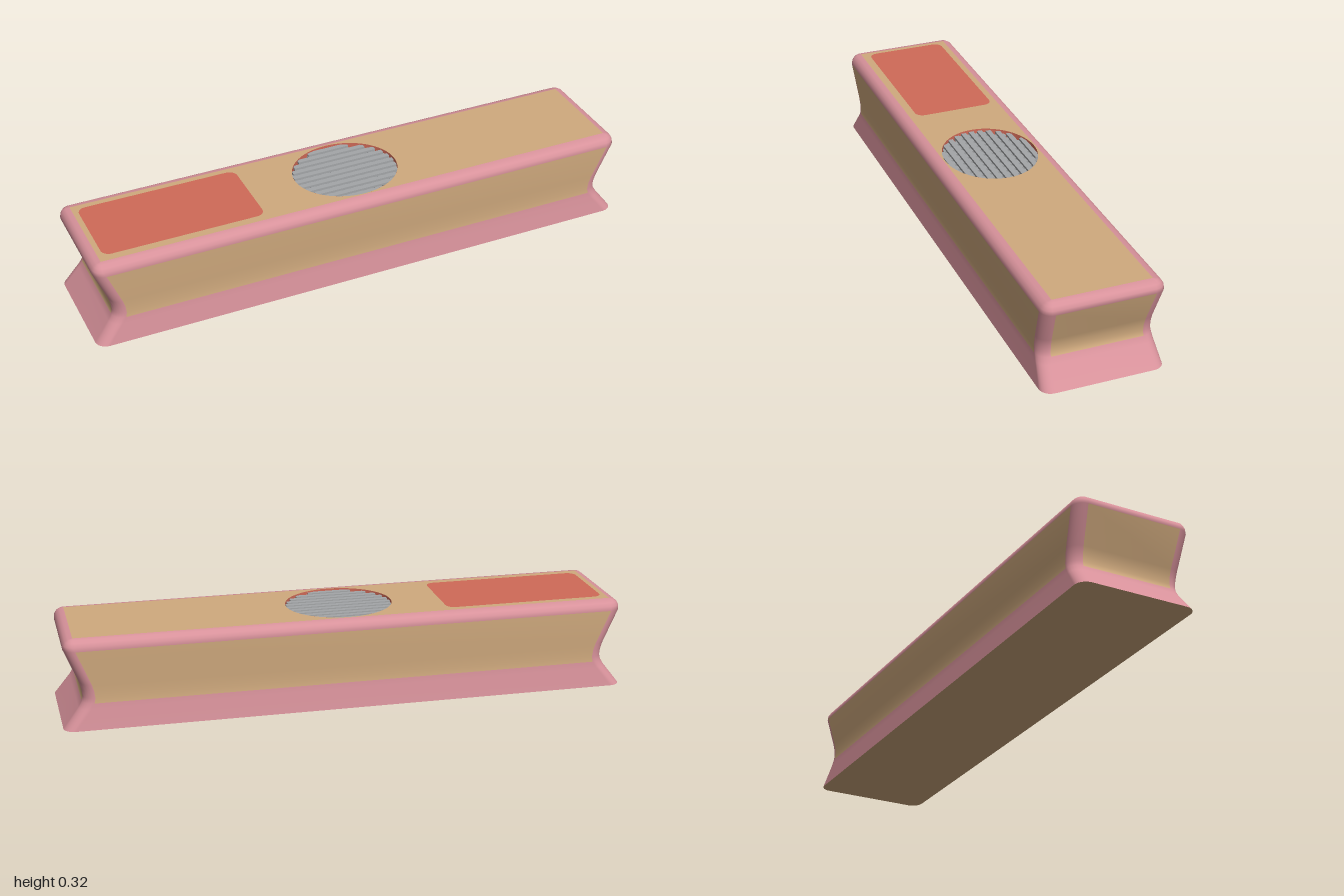
import * as THREE from 'three';

const material = (color) => new THREE.MeshStandardMaterial({ color, roughness: 0.8, side: THREE.DoubleSide });

// body levels: height, half length, half depth, corner radius
const LEVELS = [
  [0, 1, 0.213, 0.04], [0.07, 0.946, 0.203, 0.04], [0.092, 0.933, 0.2008, 0.04],
  [0.11, 0.929, 0.2, 0.04], [0.135, 0.932, 0.2005, 0.04], [0.16, 0.939, 0.202, 0.04],
  [0.283, 0.989, 0.211, 0.04], [0.298, 0.987, 0.208, 0.037], [0.31, 0.98, 0.2, 0.029],
  [0.3175, 0.969, 0.188, 0.017], [0.32, 0.954, 0.172, 0.001],
];
const PANEL_BOTTOM = 2, PANEL_TOP = 6; // level range of the wooden panels
const STEPS = 6, TOP = 0.32, RX = 0.19, RZ = 0.167;

// rounded rectangle as points, corner by corner
function ring(hx, hz, r) {
  const points = [];
  for (let c = 0; c < 4; c++) {
    const sx = c === 0 || c === 3 ? 1 : -1, sz = c < 2 ? 1 : -1;
    for (let i = 0; i <= STEPS; i++) {
      const a = (c + i / STEPS) * Math.PI / 2;
      points.push(new THREE.Vector2(sx * (hx - r) + r * Math.cos(a), sz * (hz - r) + r * Math.sin(a)));
    }
  }
  return points;
}

function flat(shape, y, down = false) {
  const g = new THREE.ShapeGeometry(shape, 48);
  g.rotateX(down ? Math.PI / 2 : -Math.PI / 2);
  return g.translate(0, y, 0);
}

export function createModel() {
  const group = new THREE.Group();
  const wood = material(0xd0aa7e), pink = material(0xd8929b), red = material(0xd06a58);
  const steel = material(0xa4a6a8), dark = material(0x4c4c4e);
  const add = (name, geometry, mat, parent = group) => {
    const mesh = new THREE.Mesh(geometry, mat);
    mesh.name = name;
    parent.add(mesh);
    return mesh;
  };

  // waisted body, split into pink frame and wooden panels with shared normals
  const positions = [], frame = [], panels = [];
  const n = 4 * (STEPS + 1);
  for (const [y, hx, hz, r] of LEVELS) for (const p of ring(hx, hz, r)) positions.push(p.x, y, p.y);
  for (let i = 0; i < LEVELS.length - 1; i++) {
    for (let j = 0; j < n; j++) {
      const a = i * n + j, b = i * n + (j + 1) % n;
      const isFlat = j % (STEPS + 1) === STEPS;
      const target = isFlat && i >= PANEL_BOTTOM && i < PANEL_TOP ? panels : frame;
      target.push(a, a + n, b + n, a, b + n, b);
    }
  }
  const whole = new THREE.BufferGeometry();
  whole.setAttribute('position', new THREE.Float32BufferAttribute(positions, 3));
  whole.setIndex([...frame, ...panels]);
  whole.computeVertexNormals();
  const part = (index) => {
    const g = whole.clone();
    g.setIndex(index);
    return g;
  };
  add('frame', part(frame), pink);
  add('sidePanels', part(panels), wood);

  // underside
  add('underside', flat(new THREE.Shape(ring(1, 0.213, 0.04)), 0, true), wood);

  // counter top with an oval opening
  const top = new THREE.Shape(ring(0.954, 0.172, 0.001));
  const hole = new THREE.Path();
  hole.absellipse(0, 0, RX, RZ, 0, Math.PI * 2, true);
  top.holes.push(hole);
  add('counterTop', flat(top, TOP), wood);

  // red mat
  const mat = add('mat', flat(new THREE.Shape(ring(0.288, 0.147, 0.03)), TOP + 0.001), red);
  mat.position.set(-0.648, 0, -0.003);

  // recessed oval grate
  const grate = new THREE.Group();
  grate.name = 'grate';
  group.add(grate);
  const wall = new THREE.CylinderGeometry(1, 1, 0.035, 64, 1, true);
  wall.scale(RX, 1, RZ).translate(0, TOP - 0.0175, 0);
  add('recessWall', wall, red, grate);
  const floor = new THREE.Shape();
  floor.absellipse(0, 0, RX, RZ, 0, Math.PI * 2);
  add('recessFloor', flat(floor, TOP - 0.033), dark, grate);

  // bars cut to the oval outline
  const bars = (name, count, half, other, y, alongX) => {
    const pitch = 2 * half / count;
    for (let i = 0; i < count; i++) {
      const d = (i + 0.5) * pitch - half;
      const length = 2 * other * Math.sqrt(1 - (d / half) ** 2) * 0.985;
      const bar = add(name, new THREE.BoxGeometry(length, 0.009, pitch * 0.6), steel, grate);
      bar.position.set(alongX ? 0 : d, y, alongX ? d : 0);
      if (!alongX) bar.rotation.y = Math.PI / 2;
    }
  };
  bars('longBar', 11, RZ, RX, TOP - 0.01, true);
  bars('crossBar', 11, RX, RZ, TOP - 0.018, false);
  return group;
}
